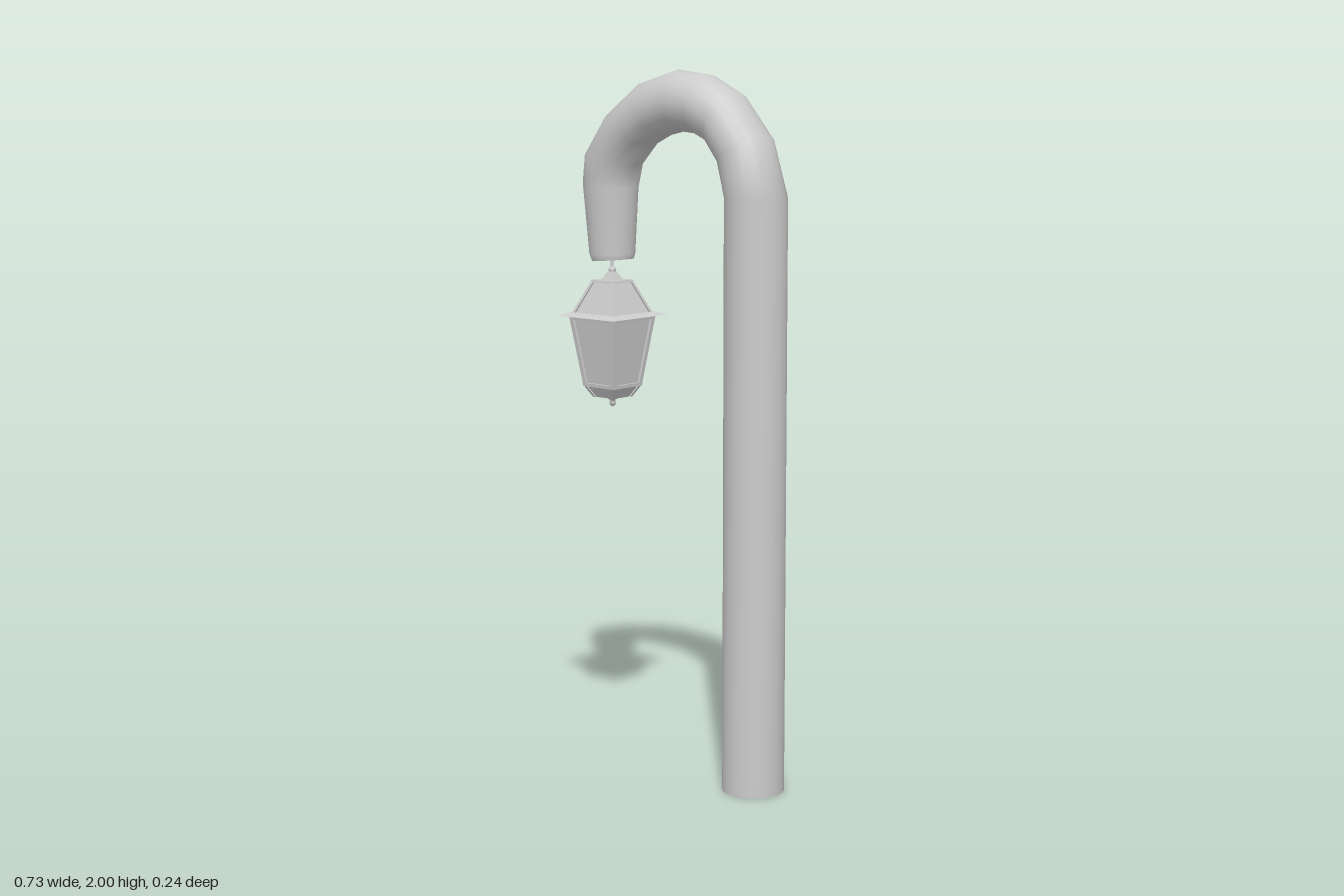
import * as THREE from 'three';

const material = new THREE.MeshStandardMaterial({ color: 0xcccccc });
const flat = new THREE.MeshStandardMaterial({ color: 0xcccccc, flatShading: true });

// Hooked pole cross-sections: outer x, outer y, inner x, inner y, half depth
const RINGS = [
  [0.362, 0, 0.188, 0, 0.087],
  [0.362, 1.66, 0.188, 1.66, 0.087],
  [0.31, 1.82, 0.165, 1.75, 0.087],
  [0.205, 1.94, 0.125, 1.803, 0.087],
  [0.105, 1.988, 0.075, 1.825, 0.087],
  [0.0, 2.0, 0.015, 1.83, 0.087],
  [-0.13, 1.962, -0.05, 1.815, 0.087],
  [-0.245, 1.875, -0.11, 1.787, 0.087],
  [-0.328, 1.76, -0.165, 1.73, 0.085],
  [-0.339, 1.68, -0.18, 1.665, 0.08],
  [-0.32, 1.475, -0.188, 1.48, 0.066],
  [-0.312, 1.455, -0.192, 1.464, 0.06],
];

function sweptRings(rings, sides) {
  const pos = [], index = [];
  const addRing = ([ox, oy, ix, iy, d]) => {
    const start = pos.length / 3;
    for (let j = 0; j < sides; j++) {
      const a = (j / sides) * Math.PI * 2, c = Math.cos(a) / 2;
      pos.push((ox + ix) / 2 + (ox - ix) * c, (oy + iy) / 2 + (oy - iy) * c, d * Math.sin(a));
    }
    return start;
  };
  rings.forEach(addRing);
  for (let i = 0; i < rings.length - 1; i++) {
    for (let j = 0; j < sides; j++) {
      const k = (j + 1) % sides;
      const a = i * sides + j, b = i * sides + k;
      index.push(a, a + sides, b, b, a + sides, b + sides);
    }
  }
  // End caps with their own vertices, so the rims stay sharp
  const cap = (ring, flip) => {
    const s = addRing(ring);
    for (let j = 1; j < sides - 1; j++) {
      index.push(s, s + (flip ? j + 1 : j), s + (flip ? j : j + 1));
    }
  };
  cap(rings[0], false);
  cap(rings[rings.length - 1], true);
  const g = new THREE.BufferGeometry();
  g.setAttribute('position', new THREE.Float32BufferAttribute(pos, 3));
  g.setIndex(index);
  g.computeVertexNormals();
  return g;
}

function addMesh(parent, name, geometry, mat = flat) {
  const mesh = new THREE.Mesh(geometry, mat);
  mesh.name = name;
  parent.add(mesh);
  return mesh;
}

// Square frustum from half width h0 at y0 to h1 at y1
function frustum(y0, h0, y1, h1) {
  return new THREE.CylinderGeometry(h1 * Math.SQRT2, h0 * Math.SQRT2, y1 - y0, 4, 1)
    .rotateY(Math.PI / 4).translate(0, (y0 + y1) / 2, 0);
}

// Four leaning corner bars following a frustum's edges
function cornerBars(parent, name, w, y0, h0, y1, h1) {
  for (const sx of [-1, 1]) for (const sz of [-1, 1]) {
    const g = new THREE.BoxGeometry(w, y1 - y0, w).translate(0, (y0 + y1) / 2, 0);
    const p = g.attributes.position;
    for (let i = 0; i < p.count; i++) {
      const h = (p.getY(i) > (y0 + y1) / 2 ? h1 : h0) - w / 2;
      p.setX(i, p.getX(i) + sx * h);
      p.setZ(i, p.getZ(i) + sz * h);
    }
    g.computeVertexNormals();
    addMesh(parent, name, g);
  }
}

export function createModel() {
  const model = new THREE.Group();
  model.name = 'streetLamp';
  addMesh(model, 'hookedPole', sweptRings(RINGS, 20), material);

  const lantern = new THREE.Group();
  lantern.name = 'lantern';
  lantern.position.x = -0.255;
  model.add(lantern);

  // Glazed body: inset panes, corner posts and rails
  addMesh(lantern, 'glassPanes', frustum(1.1, 0.053, 1.3, 0.08));
  cornerBars(lantern, 'cornerPost', 0.013, 1.1, 0.06, 1.3, 0.088);
  addMesh(lantern, 'topRail', frustum(1.288, 0.086, 1.3, 0.088));
  addMesh(lantern, 'bottomRail', frustum(1.095, 0.06, 1.105, 0.061));

  // Tapered base and lower finial
  addMesh(lantern, 'basePanel', frustum(1.064, 0.036, 1.095, 0.053));
  cornerBars(lantern, 'baseRib', 0.01, 1.064, 0.04, 1.097, 0.059);
  const lowerFinial = [[0, 1.035], [0.008, 1.04], [0.01, 1.048], [0.006, 1.054], [0.018, 1.06], [0.018, 1.068]];
  addMesh(lantern, 'lowerFinial',
    new THREE.LatheGeometry(lowerFinial.map(([x, y]) => new THREE.Vector2(x, y)), 10), material);

  // Wide thin brim
  const brim = addMesh(lantern, 'brim', frustum(1.3, 0.111, 1.309, 0.085));
  brim.scale.z = 1.06;

  // Hipped roof with ribs and a flat cap
  addMesh(lantern, 'roof', frustum(1.305, 0.077, 1.398, 0.038));
  cornerBars(lantern, 'roofRib', 0.01, 1.305, 0.083, 1.398, 0.043);
  addMesh(lantern, 'roofCap', frustum(1.394, 0.044, 1.402, 0.042));

  // Upper finial and the rod that hangs from the pole
  addMesh(lantern, 'upperFinial', frustum(1.402, 0.022, 1.428, 0.008));
  addMesh(lantern, 'finialKnob', new THREE.SphereGeometry(0.011, 10, 8).translate(0, 1.43, 0), material);
  addMesh(lantern, 'hangingRod', new THREE.CylinderGeometry(0.004, 0.005, 0.04, 8).translate(0, 1.445, 0), material);
  return model;
}
